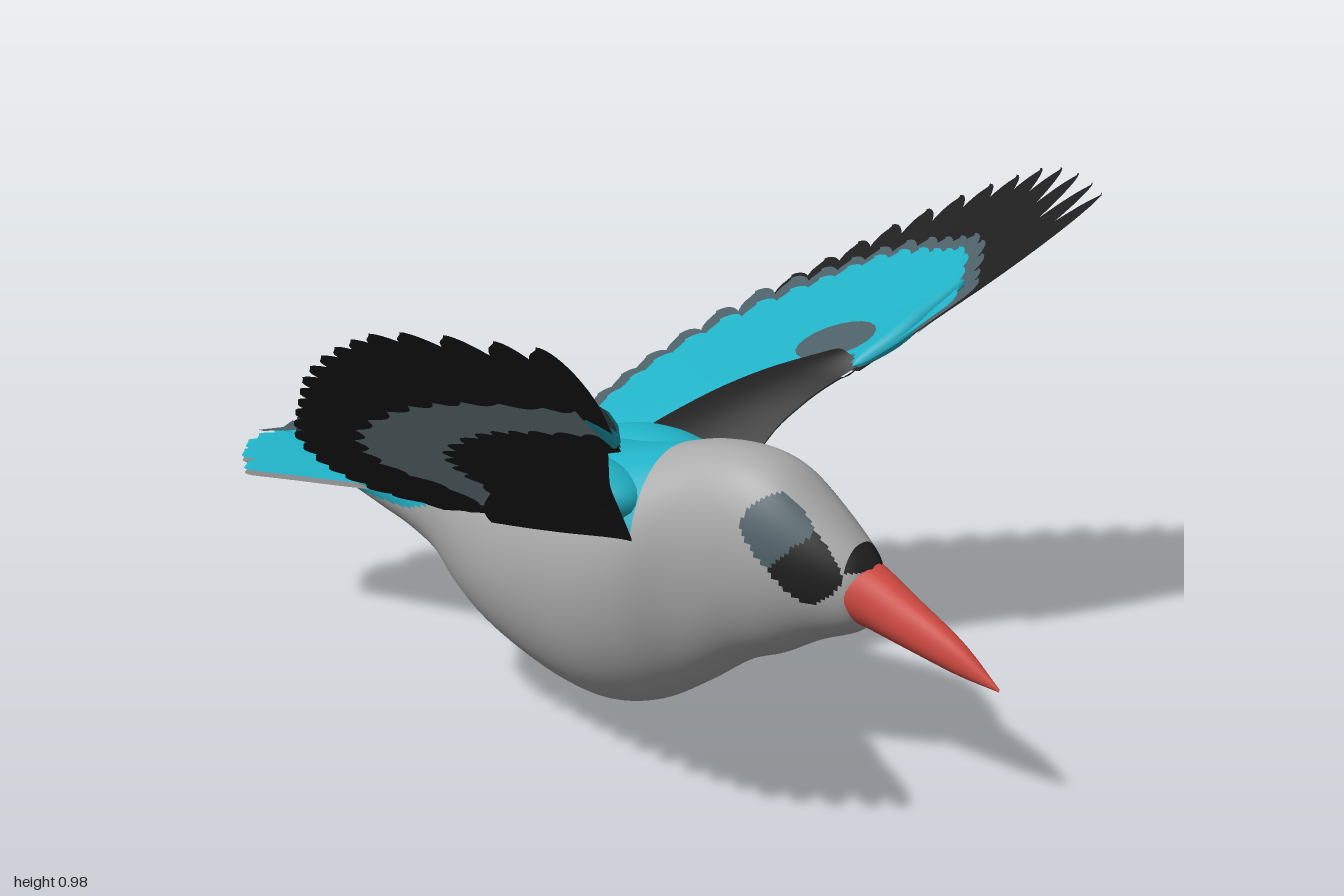
import * as THREE from 'three';
import { mergeGeometries } from 'three/addons/utils/BufferGeometryUtils.js';

const mat = (name, color) => {
  const m = new THREE.MeshStandardMaterial({ color, side: THREE.DoubleSide });
  m.name = name;
  return m;
};
const V2 = (p) => new THREE.Vector2(p[0], p[1]);
const curve = (pts) => new THREE.SplineCurve(pts.map(V2));
const { lerp, smoothstep } = THREE.MathUtils;

// Open surface from a rule P(u, v) -> [x, y, z]
function sheet(P, nu, nv) {
  const g = new THREE.PlaneGeometry(1, 1, nu, nv);
  const { position, uv } = g.attributes;
  for (let i = 0; i < position.count; i++) position.setXYZ(i, ...P(uv.getX(i), uv.getY(i)));
  g.computeVertexNormals();
  return g;
}

// Closed loft: keys are [z, top, bottom, half width, height of widest point], front to back.
// pick(x, y, z) gives the material index of each face.
function loft(keys, rings, sides, pick) {
  const a = new THREE.CatmullRomCurve3(keys.map((k) => new THREE.Vector3(k[0], k[1], k[2])), false, 'catmullrom', 0.5);
  const b = new THREE.CatmullRomCurve3(keys.map((k) => new THREE.Vector3(k[0], k[3], k[4])), false, 'catmullrom', 0.5);
  const pos = [], buckets = [];
  for (let i = 0; i <= rings; i++) {
    const p = a.getPoint(i / rings), q = b.getPoint(i / rings);
    for (let j = 0; j < sides; j++) {
      const t = (j / sides) * Math.PI * 2, c = Math.cos(t), s = Math.sin(t);
      const x = q.y * Math.sign(c) * Math.pow(Math.abs(c), s > 0 ? 0.85 : 1);
      pos.push(x, q.z + s * (s > 0 ? p.y - q.z : q.z - p.z), p.x);
    }
  }
  for (let i = 0; i < rings; i++) for (let j = 0; j < sides; j++) {
    const k = (j + 1) % sides;
    const A = i * sides + j, B = i * sides + k, C = A + sides, D = B + sides;
    const mid = [0, 1, 2].map((n) => (pos[A * 3 + n] + pos[B * 3 + n] + pos[C * 3 + n] + pos[D * 3 + n]) / 4);
    (buckets[pick(...mid)] ??= []).push(A, C, B, B, C, D);
  }
  const g = new THREE.BufferGeometry();
  g.setAttribute('position', new THREE.Float32BufferAttribute(pos, 3));
  const index = [];
  buckets.forEach((list, m) => {
    g.addGroup(index.length, list.length, m);
    for (const n of list) index.push(n);
  });
  g.setIndex(index);
  g.computeVertexNormals();
  return g;
}

// Height of the raised wing surface, drooping towards the front of its root
function wingY(x, z) {
  const d = Math.max(0, 0.35 - x);
  return 0.55 + 0.51 * (x - 0.5) + 0.257 * (z + 0.25) - 5 * d * d * Math.max(0, z + 0.3);
}

// Width of a feather along its length, with a rounded tip
const vane = (u, tip) => (0.5 + 0.5 * Math.min(1, u / 0.5)) *
  (u < tip ? 1 : Math.sqrt(Math.max(0, 1 - ((u - tip) / (1 - tip)) ** 2)));
// Spacing that gathers samples at the feather tip
const toTip = (u) => Math.sin((u * Math.PI) / 2);

export function createModel() {
  const grey = mat('pale grey plumage', 0xa9a9a9);
  const teal = mat('teal plumage', 0x20b0c5);
  const black = mat('black plumage', 0x1f1f1f);
  const slate = mat('slate plumage', 0x4c5f67);
  const underSlate = mat('pale slate underwing', 0x80969e);
  const red = mat('red beak', 0xd34b43);
  const underGrey = mat('tail underside grey', 0x858585);

  const model = new THREE.Group();
  const add = (name, geo, material, parent = model) => {
    const m = new THREE.Mesh(geo, material);
    m.name = name;
    parent.add(m);
    return m;
  };

  // Head and body in one loft, with face mask, teal mantle and back patches
  const bodyKeys = [
    [0.67, 0.41, 0.31, 0.03, 0.36], [0.64, 0.44, 0.275, 0.062, 0.36], [0.56, 0.505, 0.24, 0.095, 0.38],
    [0.48, 0.56, 0.195, 0.117, 0.39], [0.40, 0.58, 0.16, 0.127, 0.39], [0.30, 0.575, 0.09, 0.14, 0.36],
    [0.20, 0.55, 0.03, 0.175, 0.31], [0.10, 0.53, 0.004, 0.195, 0.28], [0, 0.52, 0.015, 0.2, 0.28],
    [-0.10, 0.51, 0.05, 0.195, 0.28], [-0.20, 0.495, 0.09, 0.175, 0.30], [-0.28, 0.485, 0.135, 0.15, 0.33],
    [-0.34, 0.475, 0.2, 0.135, 0.34], [-0.42, 0.455, 0.245, 0.125, 0.35], [-0.52, 0.42, 0.28, 0.115, 0.36],
    [-0.62, 0.385, 0.315, 0.09, 0.35], [-0.72, 0.365, 0.335, 0.05, 0.35],
  ];
  const plumage = (x, y, z) => {
    if (z > 0.635 && y > 0.4) return 2;
    const s = (z - 0.54) * -0.7 + (y - 0.43) * 0.71, w = (z - 0.54) * 0.71 + (y - 0.43) * 0.7;
    if (Math.abs(x) > 0.05 && (w / 0.052) ** 4 + (s / 0.105) ** 4 < 1) return s < 0 ? 2 : 3;
    if (z < 0.22 && y > lerp(0.41, 0.33, smoothstep(-z, 0.15, 0.42))) {
      return ((Math.abs(x) - 0.08) / 0.042) ** 2 + ((z + 0.17) / 0.07) ** 2 < 1 ? 3 : 1;
    }
    return 0;
  };
  add('body', loft(bodyKeys, 180, 100, plumage), [grey, teal, black, slate]);

  // Beak
  add('beak', loft([
    [0.93, 0.236, 0.23, 0.002, 0.233], [0.85, 0.303, 0.242, 0.021, 0.27], [0.75, 0.362, 0.266, 0.037, 0.31],
    [0.68, 0.402, 0.284, 0.049, 0.34], [0.63, 0.42, 0.298, 0.064, 0.36], [0.58, 0.42, 0.32, 0.064, 0.37],
  ], 30, 32, () => 0), [red]);

  // Wings: fans of feathers running from the arm to the trailing edge
  const roots = curve([[0.38, 0.36], [0.41, 0.35], [0.41, 0.31], [0.36, 0.22], [0.28, 0.1], [0.18, 0.02], [0.12, -0.05]]);
  const tips = curve([[0.87, 0.62], [0.95, 0.53], [1, 0.43], [0.985, 0.34], [0.945, 0.24], [0.88, 0.13], [0.8, 0.03],
    [0.72, -0.07], [0.62, -0.18], [0.5, -0.26], [0.4, -0.3], [0.28, -0.32], [0.19, -0.27], [0.13, -0.2]]);
  const armFront = curve([[0.12, 0.22], [0.24, 0.25], [0.3, 0.29], [0.35, 0.33], [0.39, 0.36]]);
  const armBack = curve([[0.12, -0.12], [0.22, -0.09], [0.31, 0.02], [0.38, 0.14], [0.42, 0.28]]);
  const bandInner = curve([[0.49, 0.43], [0.54, 0.32], [0.55, 0.22], [0.48, 0.08], [0.35, 0], [0.19, -0.03]]);
  const bandOuter = curve([[0.63, 0.49], [0.72, 0.34], [0.725, 0.18], [0.63, -0.02], [0.45, -0.13], [0.22, -0.1]]);
  const wrist = curve([[0.37, 0.36], [0.44, 0.405], [0.52, 0.43], [0.61, 0.465]]);
  const COUNT = 24;

  // width and tipStart are [at the leading feather, at the innermost feather]
  const fan = (side, end, off, width, tipStart) => {
    const list = [];
    for (let i = 0; i < COUNT; i++) {
      const t = i / (COUNT - 1), e = end(t);
      const r = roots.getPoint(t), d = tips.getPoint(t).sub(r), n = new THREE.Vector2(-d.y, d.x).normalize();
      list.push(sheet((u, v) => {
        const k = toTip(u), w = lerp(...width, t) * (v - 0.5) * vane(k, lerp(...tipStart, Math.min(1, t * 2)));
        const x = r.x + d.x * k * e + n.x * w, z = r.y + d.y * k * e + n.y * w;
        return [side * x, wingY(x, z) + off + (v - 0.5) * 0.007, z];
      }, 16, 2));
    }
    return mergeGeometries(list);
  };
  const reach = (t) => lerp(0.4, 0.54, smoothstep(t, 0, 0.2)) + 0.2 * smoothstep(t, 0.2, 0.45) + 0.12 * smoothstep(t, 0.42, 0.65);
  const fringe = (t) => Math.min(0.995, reach(t) + 0.09 + 0.08 * smoothstep(t, 0.4, 0.6));

  for (const side of [1, -1]) {
    const wing = new THREE.Group();
    wing.name = side > 0 ? 'leftWing' : 'rightWing';
    model.add(wing);
    add('flightFeathers', fan(side, () => 1, 0, [0.072, 0.09], [0.58, 0.85]), black, wing);
    add('slateFringe', fan(side, fringe, 0.008, [0.07, 0.09], [0.8, 0.86]), slate, wing);
    add('tealCoverts', fan(side, reach, 0.016, [0.07, 0.09], [0.8, 0.9]), teal, wing);
    // Pale band under the wing, with ragged ends on its feathers
    add('underwingBand', sheet((u, v) => {
      const ragged = 0.12 * Math.abs(Math.sin(u * Math.PI * 14));
      const p = bandInner.getPoint(u).lerp(bandOuter.getPoint(u), lerp(ragged, 1 - ragged, v));
      return [side * p.x, wingY(p.x, p.y) - 0.01, p.y];
    }, 84, 6), underSlate, wing);
    // Arm, thickened above and below the feathers
    for (const face of [1, -1]) {
      add(face > 0 ? 'upperArm' : 'lowerArm', sheet((u, v) => {
        const p = armFront.getPoint(u).lerp(armBack.getPoint(u), v);
        const off = 0.002 + 0.022 * v + 0.014 * Math.sin(Math.PI * v);
        return [side * p.x, wingY(p.x, p.y) + face * off, p.y];
      }, 20, 10), black, wing);
    }
    // Slate patch behind the wrist
    add('wristPatch', sheet((u, v) => {
      const a = u * Math.PI * 2, x = 0.45 + 0.055 * v * Math.cos(a), z = 0.265 + 0.09 * v * Math.sin(a);
      return [side * x, wingY(x, z) + 0.024, z];
    }, 20, 3), slate, wing);
    // Teal leading edge at the wrist
    add('wristEdge', sheet((u, v) => {
      const p = wrist.getPoint(u), a = v * Math.PI * 2, r = 0.021 * Math.sqrt(Math.sin(Math.PI * u) + 1e-6);
      return [side * p.x, wingY(p.x, p.y) + 0.016 + r * Math.sin(a), p.y + r * Math.cos(a)];
    }, 16, 12), teal, wing);
    // Shoulder feathers
    const shoulder = add('shoulder', new THREE.SphereGeometry(1, 24, 16), teal);
    shoulder.scale.set(0.095, 0.068, 0.17);
    shoulder.position.set(side * 0.122, 0.464, 0.055);
  }

  // Tail: a shallow fan, teal above and grey below
  const tailFan = (off, shrink) => {
    const list = [];
    for (let i = 0; i < 10; i++) {
      const k = (i / 9) * 2 - 1, a = Math.abs(k);
      const x0 = k * 0.085, x1 = k * 0.155, z1 = -0.9 - 0.03 * Math.sin(a * Math.PI) + 0.05 * a ** 3;
      list.push(sheet((u, v) => {
        const t = toTip(u), w = (v - 0.5) * 0.062 * shrink * vane(t, 0.9);
        return [lerp(x0, x1, t ** 1.5) + w, lerp(0.4, 0.375, t) - 0.03 * a * a + off + Math.sign(k) * (0.5 - v) * 0.01,
          lerp(-0.36, z1, t)];
      }, 16, 2));
    }
    return mergeGeometries(list);
  };
  add('tailFeathers', tailFan(0, 1), teal);
  add('tailUnderside', tailFan(-0.012, 0.9), underGrey);

  // Slate mark at the tail notch
  add('tailMark', sheet((u, v) => {
    const a = Math.abs(u - 0.5);
    return [(u - 0.5) * 0.1, 0.385, lerp(-0.9 - 0.05 * a, -0.86 - 0.1 * a, v)];
  }, 8, 1), slate);

  return model;
}
